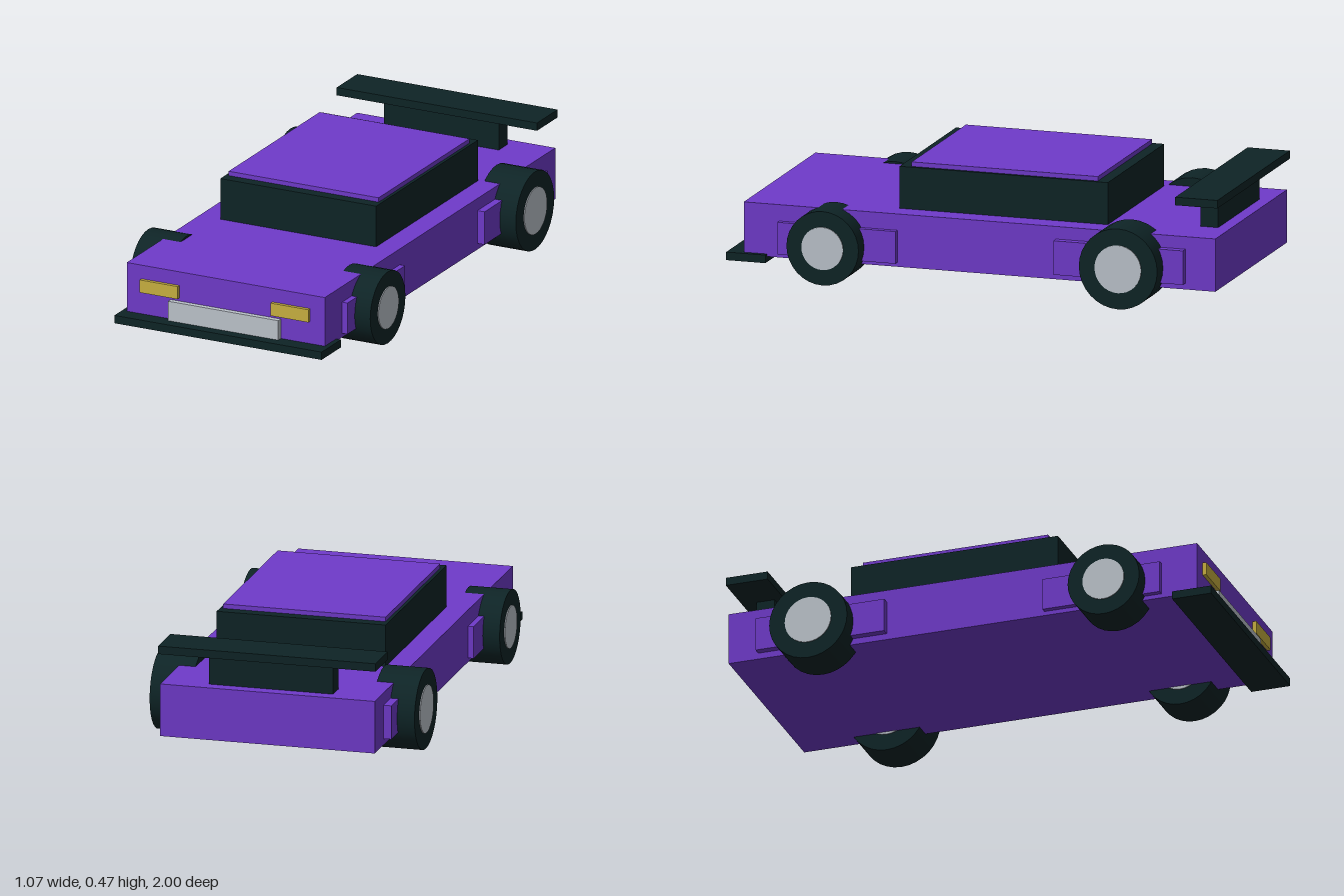
import * as THREE from 'three';

const material = (name, color) => {
  const m = new THREE.MeshStandardMaterial({ color });
  m.name = name;
  return m;
};

export function createModel() {
  const car = new THREE.Group();
  car.name = 'car';
  const purple = material('purple paint', 0x6f3aca);
  const black = material('dark trim', 0x0e2426);
  const silver = material('silver', 0xbcc3cb);
  const yellow = material('yellow lamp', 0xc8b040);

  // Box given by its extents along each axis
  const box = (name, mat, [x0, x1], [y0, y1], [z0, z1]) => {
    const mesh = new THREE.Mesh(new THREE.BoxGeometry(x1 - x0, y1 - y0, z1 - z0), mat);
    mesh.position.set((x0 + x1) / 2, (y0 + y1) / 2, (z0 + z1) / 2);
    mesh.name = name;
    car.add(mesh);
  };

  // Body and cabin
  box('body', purple, [-0.432, 0.432], [0.075, 0.285], [-0.99, 0.935]);
  box('cabin', black, [-0.34, 0.34], [0.28, 0.452], [-0.52, 0.33]);
  box('roof', purple, [-0.327, 0.327], [0.445, 0.47], [-0.475, 0.285]);

  // Nose
  box('splitter', black, [-0.452, 0.452], [0.053, 0.085], [0.84, 1]);
  box('grille', silver, [-0.24, 0.24], [0.08, 0.165], [0.93, 0.957]);

  // Rear wing
  box('wingSupport', black, [-0.25, 0.25], [0.28, 0.415], [-0.94, -0.867]);
  box('wing', black, [-0.437, 0.437], [0.408, 0.44], [-1, -0.828]);

  // Wheel with a hub standing slightly proud of the tyre
  const wheel = (name, side, x, z, radius, hubRadius) => {
    const group = new THREE.Group();
    group.name = name;
    const tyre = new THREE.Mesh(new THREE.CylinderGeometry(radius, radius, 0.168, 32), black);
    tyre.name = 'tyre';
    const hub = new THREE.Mesh(new THREE.CylinderGeometry(hubRadius, hubRadius, 0.176, 32), silver);
    hub.name = 'hub';
    group.add(tyre, hub);
    group.rotation.z = Math.PI / 2;
    group.position.set(side * x, radius, z);
    car.add(group);
  };

  // Paired parts
  for (const side of [1, -1]) {
    const prefix = side > 0 ? 'left' : 'right';
    const span = (a, b) => (side > 0 ? [a, b] : [-b, -a]);
    box(prefix + 'Headlight', yellow, span(0.203, 0.368), [0.177, 0.229], [0.93, 0.95]);
    box(prefix + 'FrontFlare', purple, span(0.4, 0.455), [0.092, 0.22], [0.308, 0.79]);
    box(prefix + 'RearFlare', purple, span(0.4, 0.463), [0.1, 0.235], [-0.868, -0.34]);
    wheel(prefix + 'FrontWheel', side, 0.439, 0.583, 0.147, 0.085);
    wheel(prefix + 'RearWheel', side, 0.449, -0.627, 0.16, 0.095);
  }
  return car;
}
